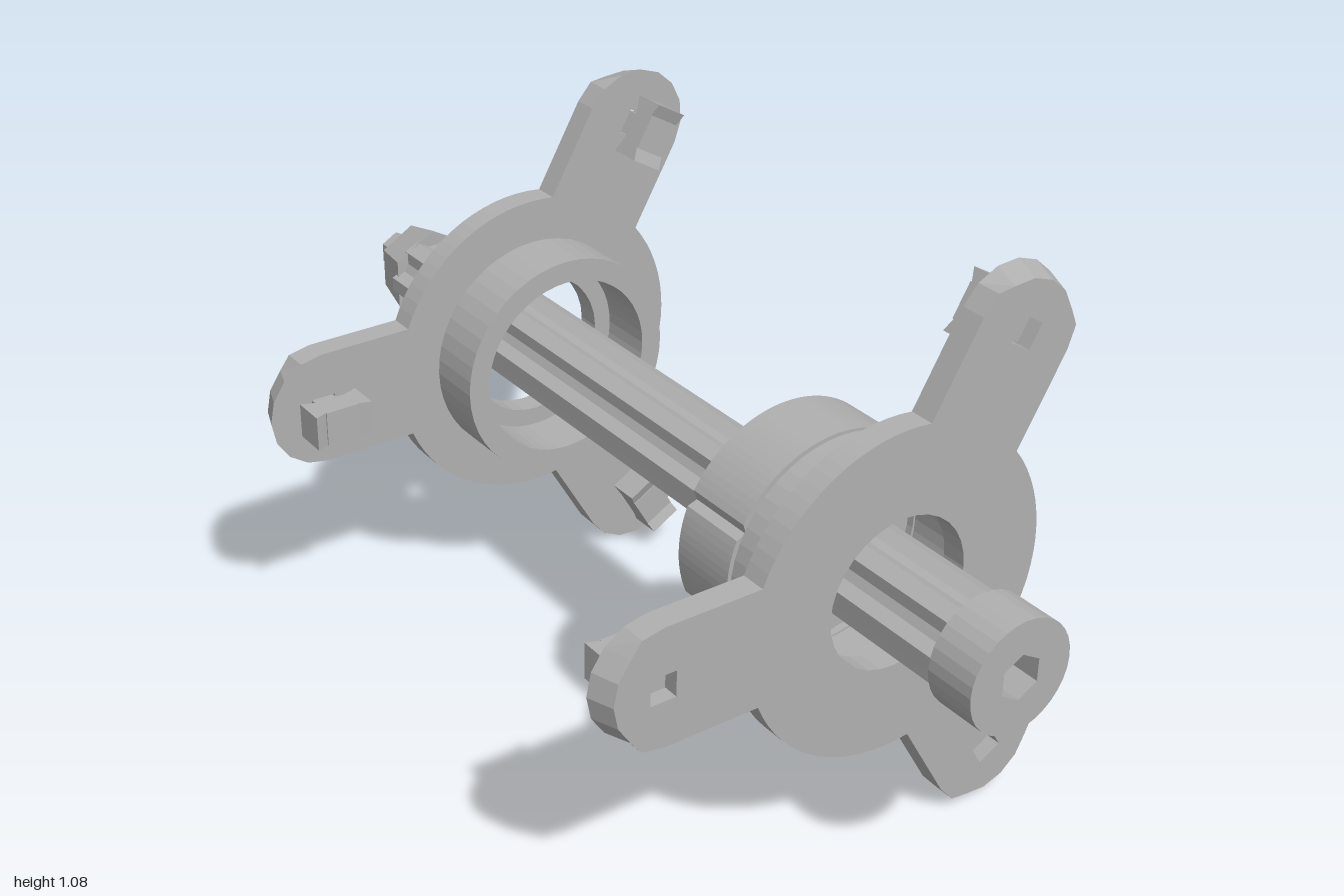
import * as THREE from 'three';

const steel = new THREE.MeshStandardMaterial({ color: 0xb0b0b0 });
steel.name = 'grey steel';
const TAU = Math.PI * 2;
const polar = (r, a) => new THREE.Vector2(r * Math.cos(a), r * Math.sin(a));

// Regular polygon, used for outlines and holes
function polygon(r, n, start = 0) {
  return Array.from({ length: n }, (_, i) => polar(r, start + (i / n) * TAU));
}

// Sector of a ring between two angles
function sector(r0, r1, a0, a1, n = 8) {
  const pts = [];
  for (let i = 0; i <= n; i++) pts.push(polar(r1, a0 + ((a1 - a0) * i) / n));
  for (let i = n; i >= 0; i--) pts.push(polar(r0, a0 + ((a1 - a0) * i) / n));
  return pts;
}

// Extrude an outline with holes from z0 to z1
function slab(name, outline, holes, z0, z1) {
  const shape = new THREE.Shape(outline);
  holes.forEach((h) => shape.holes.push(new THREE.Path(h)));
  const geo = new THREE.ExtrudeGeometry(shape, { depth: z1 - z0, bevelEnabled: false });
  geo.translate(0, 0, z0);
  const mesh = new THREE.Mesh(geo, steel);
  mesh.name = name;
  return mesh;
}

const ARMS = [Math.PI / 3, Math.PI, (5 * Math.PI) / 3];
const HALF = 0.117, REACH = 0.488, DISC = 0.318, PIN = 0.49;

// Round disc with three rounded arms
function flangeOutline() {
  const pts = [];
  const half = Math.asin(HALF / DISC);
  ARMS.forEach((a) => {
    const centre = polar(REACH, a);
    pts.push(polar(DISC, a - half));
    for (let i = 0; i <= 8; i++) {
      pts.push(polar(HALF, a - Math.PI / 2 + (i / 8) * Math.PI).add(centre));
    }
    const from = a + half, to = a + TAU / 3 - half;
    for (let i = 0; i < 16; i++) pts.push(polar(DISC, from + ((to - from) * i) / 16));
  });
  return pts;
}

// Flange: armed plate, collar and three clips; its inner face is z = 0, outside is +z
function makeFlange(name) {
  const g = new THREE.Group();
  g.name = name;
  const holes = [polygon(0.148, 32)];
  ARMS.forEach((a) => holes.push(polygon(0.036, 4, a + Math.PI / 4).map((p) => p.add(polar(PIN, a)))));
  const plate = slab('armedPlate', flangeOutline(), holes, 0, 0.05);
  // Chamfer the arm tips towards the outer face
  const pos = plate.geometry.attributes.position;
  for (let i = 0; i < pos.count; i++) {
    const x = pos.getX(i), y = pos.getY(i);
    if (Math.hypot(x, y) > 0.56 && pos.getZ(i) > 0.04) pos.setXY(i, x * 0.97, y * 0.97);
  }
  plate.geometry.computeVertexNormals();
  g.add(plate, slab('collar', polygon(0.23, 48), [polygon(0.185, 48)], -0.118, 0));

  ARMS.forEach((a) => {
    const clip = new THREE.Group();
    clip.name = 'clip';
    const box = (n, w, h, d, z) => {
      const m = new THREE.Mesh(new THREE.BoxGeometry(w, h, d), steel);
      m.name = n;
      m.position.z = z;
      clip.add(m);
    };
    box('clipPost', 0.045, 0.045, 0.07, -0.012);
    box('clipHead', 0.07, 0.07, 0.05, -0.054);
    // Flared jaws at both ends of the head
    [-1, 1].forEach((s) => {
      const jaw = slab('clipJaw', [[0, -0.022], [0.03, -0.034], [0.03, 0.034], [0, 0.022]]
        .map(([u, v]) => new THREE.Vector2(u, v)), [], -0.035, 0.035);
      jaw.rotation.set(Math.PI / 2, 0, 0);
      jaw.position.set(0.03, 0, -0.052);
      const side = new THREE.Group();
      side.rotation.z = s > 0 ? 0 : Math.PI;
      side.add(jaw);
      clip.add(side);
    });
    const p = polar(PIN, a);
    clip.position.set(p.x, p.y, 0);
    clip.rotation.z = a;
    g.add(clip);
  });
  return g;
}

// Locking nut with grip notches and a slotted web
function makeNut() {
  const g = new THREE.Group();
  g.name = 'lockingNut';
  const grip = [];
  for (let i = 0; i < 96; i++) {
    const a = (i / 96) * TAU;
    grip.push(polar(Math.abs(Math.abs(Math.cos(a)) - Math.cos(0.458)) < 0.01 ? 0.215 : 0.23, a));
  }
  const slots = [];
  [0, Math.PI].forEach((c) => [-1, 1].forEach((s) => {
    const a = [c + s * 0.22, c + s * 0.62].sort((m, n) => m - n);
    slots.push(sector(0.113, 0.146, a[0], a[1]));
  }));
  g.add(
    slab('gripRing', grip, [polygon(0.19, 48)], 0.385, 0.525),
    slab('slottedWeb', polygon(0.195, 48), [polygon(0.08, 24), ...slots], 0.46, 0.51),
    slab('hub', polygon(0.112, 12), [polygon(0.078, 12)], 0.4, 0.47));
  // Raised segments around the hub
  for (let i = 0; i < 4; i++) {
    const a = Math.PI / 4 + (i * Math.PI) / 2;
    g.add(slab('webSegment', sector(0.148, 0.17, a - 0.5, a + 0.5), [], 0.41, 0.47));
  }
  return g;
}

// Splined bar with bolt head, rear nut and end pin
function makeShaft() {
  const g = new THREE.Group();
  g.name = 'shaft';
  const spline = [];
  for (let i = 0; i < 6; i++) {
    const a = (i * Math.PI) / 3;
    [[0.1, -0.17], [0.1, 0.17], [0.08, 0.4], [0.08, 0.65]].forEach(([r, d]) => {
      const p = polar(r, a + d);
      p.y *= 0.88;
      spline.push(p);
    });
  }
  g.add(
    slab('splinedBar', spline, [], -0.845, 0.93),
    slab('boltHead', polygon(0.108, 32), [polygon(0.044, 6, Math.PI / 6)], 0.9, 1));
  const turned = (name, r0, r1, n, z0, z1) => {
    const geo = new THREE.CylinderGeometry(r1, r0, z1 - z0, n);
    geo.rotateX(Math.PI / 2).translate(0, 0, (z0 + z1) / 2);
    const flat = geo.toNonIndexed();
    flat.computeVertexNormals();
    const m = new THREE.Mesh(flat, steel);
    m.name = name;
    g.add(m);
  };
  turned('rearNut', 0.082, 0.104, 6, -0.93, -0.835);
  turned('endPin', 0.04, 0.04, 6, -1, -0.92);
  return g;
}

export function createModel() {
  const model = new THREE.Group();
  model.name = 'axleWithFlanges';
  const front = makeFlange('frontFlange');
  front.position.z = 0.652;
  const back = makeFlange('backFlange');
  back.rotation.x = Math.PI;
  back.position.z = -0.43;
  model.add(front, back, makeNut(), makeShaft());
  // Centre of the axle within the bounding box
  model.children.forEach((c) => {
    c.position.x = 0.12;
    c.position.y = 0.545;
  });
  return model;
}
